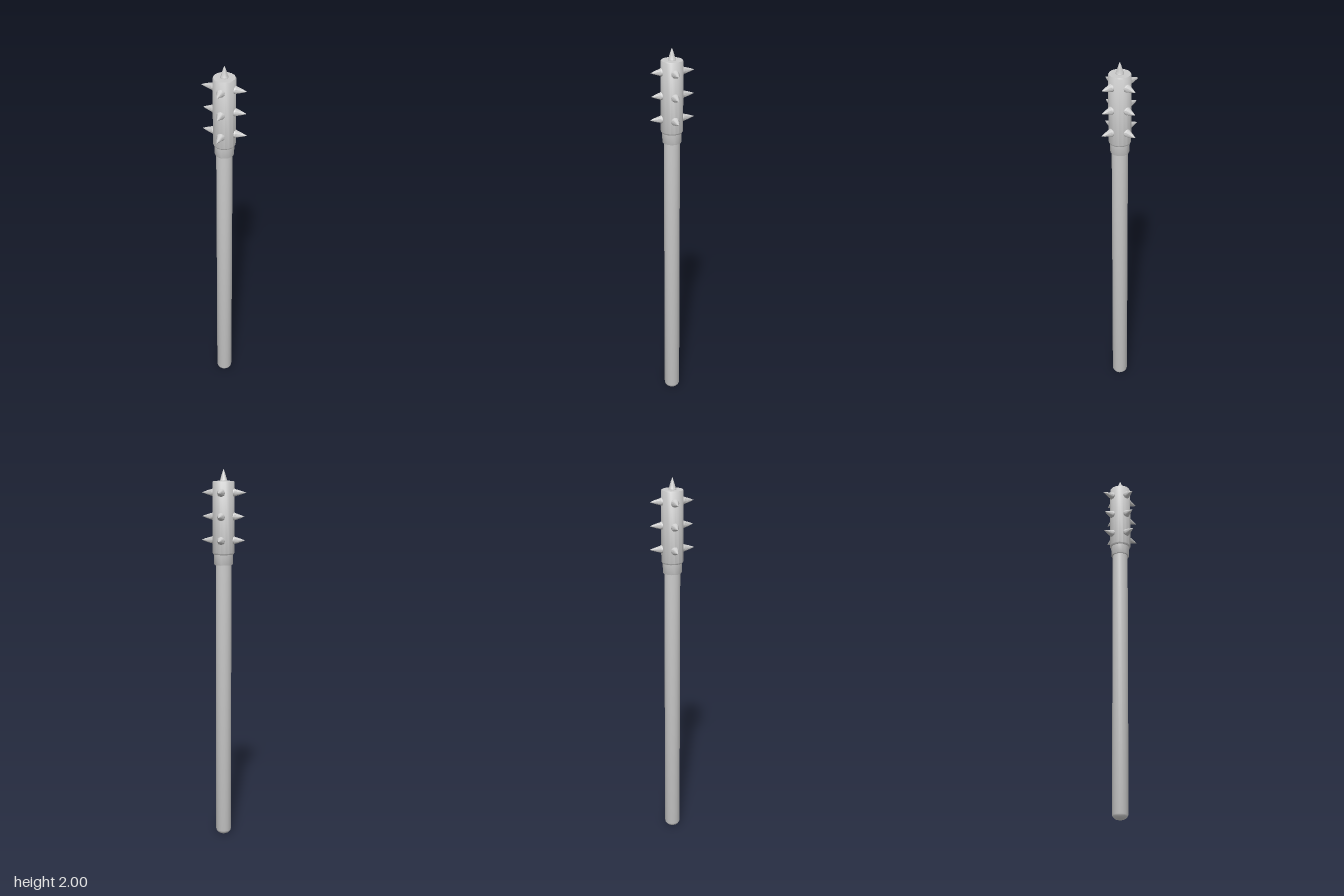
import * as THREE from 'three';
import { toCreasedNormals } from 'three/addons/utils/BufferGeometryUtils.js';

const material = new THREE.MeshStandardMaterial({ color: 0xcccccc });

// Turned part from [radius, height] pairs, listed bottom to top
function turned(name, profile, sides) {
  const points = profile.map(([r, y]) => new THREE.Vector2(r, y));
  const geometry = toCreasedNormals(new THREE.LatheGeometry(points, sides), 0.65);
  const mesh = new THREE.Mesh(geometry, material);
  mesh.name = name;
  return mesh;
}

// Tapered spike with a small foot, pointing along +y from its base
function spike(name, length) {
  return turned(name, [
    [0.021, -0.012], [0.021, 0.003], [0.018, 0.008],
    [0.013, length * 0.42], [0.007, length * 0.72], [0, length],
  ], 12);
}

export function createModel() {
  const model = new THREE.Group();

  // Long handle with a rounded butt
  const butt = [[0, 0]];
  for (let i = 0; i <= 5; i++) {
    const a = (i / 5) * Math.PI / 2;
    butt.push([0.014 + 0.028 * Math.sin(a), 0.03 - 0.03 * Math.cos(a)]);
  }
  model.add(turned('handle', [...butt, [0.042, 1.52], [0, 1.52]], 16));

  // Collar joining the handle to the head
  model.add(turned('collar', [[0, 1.5], [0.048, 1.5], [0.05, 1.505], [0.051, 1.565], [0, 1.565]], 16));

  // Cylindrical head with softened rims
  model.add(turned('head', [
    [0, 1.555], [0.053, 1.555], [0.058, 1.563],
    [0.058, 1.932], [0.055, 1.937], [0, 1.937],
  ], 16));

  // Three rings of four spikes; tips are listed as +z, +x, -z, -x
  const rings = [
    { y: 1.63, tips: [0.118, 0.12, 0.12, 0.116] },
    { y: 1.754, tips: [0.11, 0.116, 0.118, 0.112] },
    { y: 1.878, tips: [0.112, 0.116, 0.118, 0.122] },
  ];
  const spikes = new THREE.Group();
  spikes.name = 'sideSpikes';
  for (const { y, tips } of rings) {
    tips.forEach((tip, i) => {
      const s = spike('sideSpike', tip - 0.056);
      const a = i * Math.PI / 2;
      s.rotation.set(Math.PI / 2, a, 0, 'YXZ');
      s.position.set(Math.sin(a) * 0.056, y, Math.cos(a) * 0.056);
      spikes.add(s);
    });
  }
  model.add(spikes);

  // Spike on the crown
  const top = spike('topSpike', 0.063);
  top.position.y = 1.937;
  model.add(top);

  return model;
}
